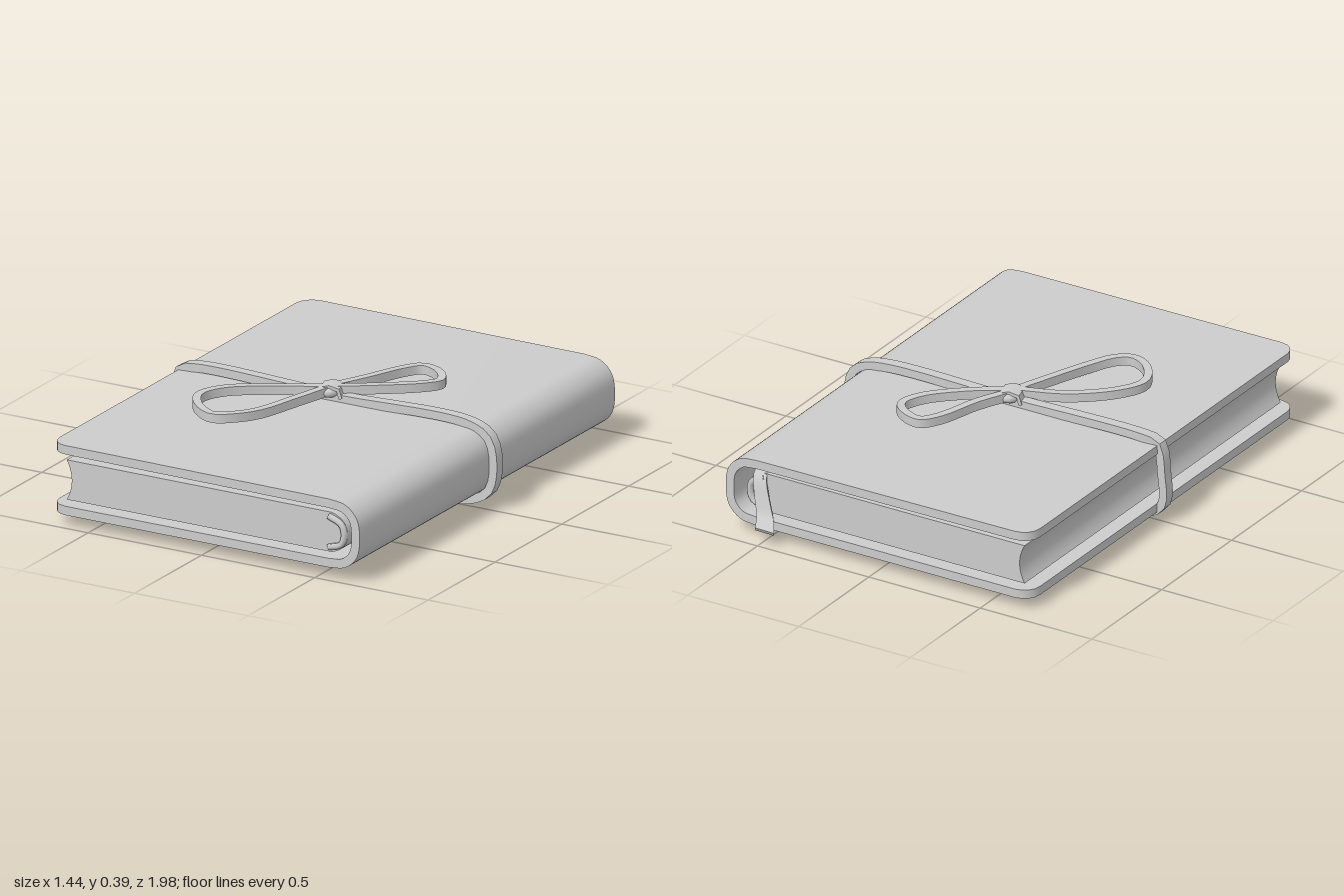
import * as THREE from 'three';
import { toCreasedNormals } from 'three/addons/utils/BufferGeometryUtils.js';

const V = (x, y, z) => new THREE.Vector3(x, y, z);

// Sweeps a flat rectangular section along points; axis is the width direction.
function band(points, axis, halfWidth, halfThick, closed = false) {
  const pos = [], idx = [], n = points.length;
  points.forEach((p, i) => {
    const a = closed ? points[(i + n - 1) % n] : points[Math.max(i - 1, 0)];
    const b = closed ? points[(i + 1) % n] : points[Math.min(i + 1, n - 1)];
    const normal = axis.clone().cross(b.clone().sub(a)).normalize();
    const w = typeof halfWidth === 'function' ? halfWidth(p, i) : halfWidth;
    for (const [s, t] of [[1, 1], [-1, 1], [-1, -1], [1, -1]]) {
      const q = p.clone().addScaledVector(normal, s * halfThick).addScaledVector(axis, t * w);
      pos.push(q.x, q.y, q.z);
    }
  });
  for (let i = 0; i < (closed ? n : n - 1); i++) {
    for (let j = 0; j < 4; j++) {
      const a = i * 4 + j, b = i * 4 + (j + 1) % 4, k = ((i + 1) % n) * 4;
      const c = k + (j + 1) % 4, d = k + j;
      idx.push(a, b, c, a, c, d);
    }
  }
  if (!closed) {
    const e = (n - 1) * 4;
    idx.push(0, 2, 1, 0, 3, 2, e, e + 1, e + 2, e, e + 2, e + 3);
  }
  const g = new THREE.BufferGeometry();
  g.setAttribute('position', new THREE.Float32BufferAttribute(pos, 3));
  g.setIndex(idx);
  return toCreasedNormals(g, 0.7);
}

export function createModel() {
  const book = new THREE.Group();
  book.name = 'journal';
  const grey = new THREE.MeshStandardMaterial({ color: 0xcccccc });
  grey.name = 'plain grey';
  const add = (name, geometry) => {
    const m = new THREE.Mesh(geometry, grey);
    m.name = name;
    book.add(m);
    return m;
  };
  const zAxis = V(0, 0, 1), yAxis = V(0, 1, 0), zMid = 0.025;

  // Wraparound cover: bottom board, rounded spine, top board, with rounded free corners
  const r = 0.07, edge = -0.68;
  const corner = [0, 0.006, 0.02, 0.04, 0.07].map(d => edge + d);
  const spine = new THREE.CatmullRomCurve3([
    V(0.55, 0.05, zMid), V(0.615, 0.06, zMid), V(0.657, 0.1, zMid), V(0.668, 0.17, zMid),
    V(0.657, 0.24, zMid), V(0.615, 0.28, zMid), V(0.55, 0.29, zMid),
  ]).getPoints(24);
  const coverPath = [
    ...corner.map(x => V(x, 0.05, zMid)),
    ...spine,
    ...corner.slice().reverse().map(x => V(x, 0.295, zMid)),
  ];
  add('cover', band(coverPath, zAxis, p => {
    const k = Math.max(r - (p.x - edge), 0);
    return 0.955 - (r - Math.sqrt(Math.max(r * r - k * k, 0)));
  }, 0.018));

  // Page block with hollow fore edge and rounded back
  const s = new THREE.Shape();
  s.moveTo(-0.63, 0.08);
  s.lineTo(0.54, 0.08);
  s.quadraticCurveTo(0.61, 0.1, 0.61, 0.16);
  s.quadraticCurveTo(0.61, 0.22, 0.54, 0.24);
  s.lineTo(-0.63, 0.24);
  s.quadraticCurveTo(-0.585, 0.16, -0.63, 0.08);
  const pages = new THREE.ExtrudeGeometry(s, { depth: 1.83, bevelEnabled: false, curveSegments: 10 });
  pages.translate(0, 0, -0.89);
  add('pages', toCreasedNormals(pages, 0.6));

  // Small head and tail bands at the back of the page block
  for (const z of [-0.895, 0.945]) {
    const arc = new THREE.CatmullRomCurve3([
      V(0.53, 0.1, z), V(0.585, 0.12, z), V(0.598, 0.16, z), V(0.585, 0.2, z), V(0.53, 0.225, z)]);
    add('headband', new THREE.TubeGeometry(arc, 14, 0.013, 6));
  }

  // Cord wrapped around the middle
  const cordPath = new THREE.CatmullRomCurve3([
    V(-0.64, 0.02, 0), V(0, 0.02, 0.005), V(0.6, 0.02, 0), V(0.68, 0.065, -0.01),
    V(0.704, 0.17, -0.01), V(0.68, 0.275, -0.01), V(0.6, 0.318, -0.01), V(0, 0.322, 0),
    V(-0.62, 0.33, -0.005), V(-0.675, 0.315, 0), V(-0.698, 0.19, 0), V(-0.7, 0.07, 0),
  ], true, 'centripetal').getSpacedPoints(90).slice(0, -1);
  add('wrapCord', band(cordPath, zAxis, 0.022, 0.017, true));

  // Bow loops lying on the top board: [x, y, z] along each loop
  const loops = {
    backLoop: [[-0.01, 0.35, -0.02], [0.05, 0.35, -0.15], [0.11, 0.345, -0.32], [0.16, 0.345, -0.385],
      [0.25, 0.345, -0.355], [0.295, 0.34, -0.29], [0.26, 0.345, -0.21], [0.13, 0.35, -0.09], [0, 0.35, 0]],
    frontLoop: [[-0.02, 0.35, 0.02], [-0.07, 0.345, 0.18], [-0.13, 0.34, 0.36], [-0.19, 0.345, 0.46],
      [-0.25, 0.345, 0.495], [-0.345, 0.35, 0.44], [-0.4, 0.35, 0.33], [-0.35, 0.35, 0.22],
      [-0.2, 0.345, 0.1], [-0.03, 0.35, 0.02]],
  };
  for (const [name, pts] of Object.entries(loops)) {
    const path = new THREE.CatmullRomCurve3(pts.map(p => V(...p))).getSpacedPoints(44);
    add(name, band(path, yAxis, 0.018, 0.016));
  }

  // Knot: a core with a band crossing it
  const knot = add('knot', new THREE.SphereGeometry(1, 12, 8));
  knot.scale.set(0.04, 0.026, 0.06);
  knot.position.set(-0.015, 0.346, 0);
  const wrap = add('knotBand', band([V(-0.045, 0.325, 0), V(-0.035, 0.36, 0), V(0, 0.369, 0),
    V(0.035, 0.36, 0), V(0.045, 0.325, 0)], zAxis, 0.04, 0.007));
  wrap.position.x = -0.015;
  wrap.rotation.y = 0.25;

  // Ribbon marker hanging out at the back
  const ribbon = new THREE.CatmullRomCurve3([
    V(0.56, 0.25, -0.84), V(0.55, 0.23, -0.9), V(0.525, 0.15, -0.925), V(0.5, 0.085, -0.945),
    V(0.475, 0.05, -0.99)]).getPoints(16);
  add('ribbonMarker', band(ribbon, V(0.92, 0.2, -0.3).normalize(), (p, i) => 0.022 + i * 0.001, 0.008));

  return book;
}
